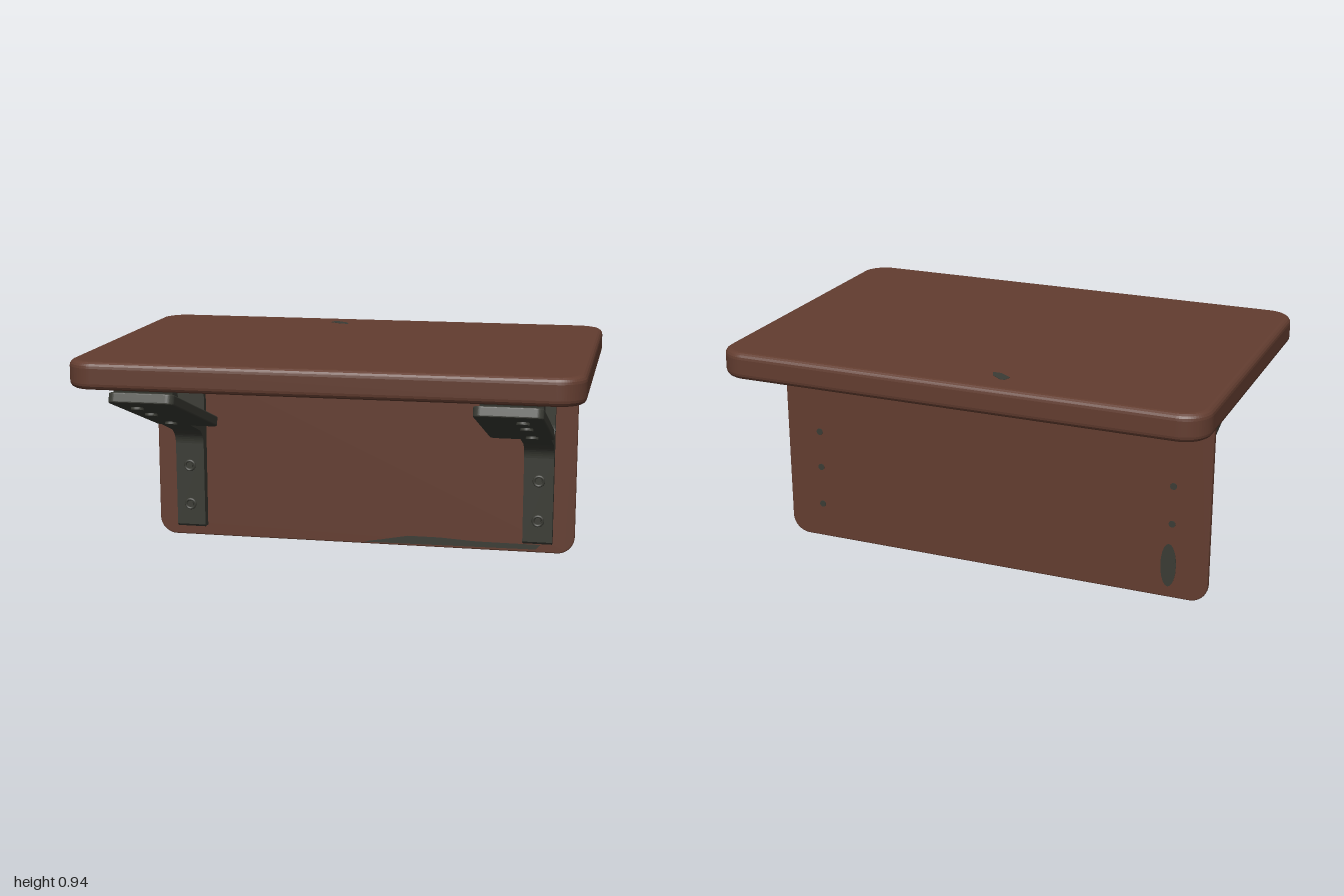
import * as THREE from 'three';

const wood = new THREE.MeshStandardMaterial({ color: 0x633d30 });
wood.name = 'brown wood';
const metal = new THREE.MeshStandardMaterial({ color: 0x3b3c35 });
metal.name = 'dark metal';

function part(name, geometry, material, parent) {
  const mesh = new THREE.Mesh(geometry, material);
  mesh.name = name;
  parent.add(mesh);
  return mesh;
}

// Rounded rectangle from (x0, y0) to (x1, y1)
function roundRect(x0, y0, x1, y1, r) {
  const s = new THREE.Shape();
  s.moveTo(x0 + r, y0);
  s.lineTo(x1 - r, y0);
  s.absarc(x1 - r, y0 + r, r, -Math.PI / 2, 0);
  s.lineTo(x1, y1 - r);
  s.absarc(x1 - r, y1 - r, r, 0, Math.PI / 2);
  s.lineTo(x0 + r, y1);
  s.absarc(x0 + r, y1 - r, r, Math.PI / 2, Math.PI);
  s.lineTo(x0, y0 + r);
  s.absarc(x0 + r, y0 + r, r, Math.PI, Math.PI * 1.5);
  return s;
}

// Slab of total thickness t, with rounded edges of radius b, centred in depth
function slab(x0, y0, x1, y1, r, t, b) {
  const g = new THREE.ExtrudeGeometry(roundRect(x0 + b, y0 + b, x1 - b, y1 - b, r - b), {
    depth: t - 2 * b, bevelEnabled: true, bevelSize: b, bevelThickness: b,
    bevelSegments: 4, curveSegments: 8,
  });
  return g.translate(0, 0, b - t / 2);
}

// Side profile (z, y) extruded between two x positions
function sideProfile(shape, xMin, xMax) {
  const g = new THREE.ExtrudeGeometry(shape, { depth: xMax - xMin, bevelEnabled: false, curveSegments: 8 });
  return g.rotateY(-Math.PI / 2).translate(xMax, 0, 0);
}

const SLOPE = 0.34;
const armY = (z) => 0.578 + SLOPE * z;

function bracket(side) {
  const g = new THREE.Group();
  g.name = side > 0 ? 'leftBracket' : 'rightBracket';
  const span = (a, b) => (side > 0 ? [a, b] : [-b, -a]);

  // Wall post flowing into the root of the arm
  const s = new THREE.Shape();
  s.moveTo(-0.255, 0.05);
  s.lineTo(-0.22, 0.05);
  s.lineTo(-0.212, 0.06);
  s.lineTo(-0.208, 0.43);
  s.quadraticCurveTo(-0.205, 0.47, -0.16, armY(-0.16) - 0.024);
  s.lineTo(0.02, armY(0.02) - 0.02);
  s.lineTo(0.01, armY(0.01) + 0.02);
  s.lineTo(-0.18, armY(-0.18) + 0.02);
  s.quadraticCurveTo(-0.225, 0.52, -0.226, 0.57);
  s.lineTo(-0.221, 0.828);
  s.lineTo(-0.255, 0.828);
  part('wallPost', sideProfile(s, ...span(0.705, 0.832)), metal, g);

  // Wide sloping support plate with its screws
  const arm = new THREE.Group();
  arm.name = 'arm';
  arm.position.set(0, armY(-0.02), -0.02);
  arm.rotation.x = -Math.atan(SLOPE);
  g.add(arm);
  const [a0, a1] = span(0.58, 0.845);
  part('armPlate', slab(a0, 0, a1, 0.68, 0.03, 0.042, 0.006).rotateX(Math.PI / 2), metal, arm);
  for (const z of [0.07, 0.33, 0.5]) {
    const bolt = part('armScrew', new THREE.CylinderGeometry(0.026, 0.026, 0.062, 16), metal, arm);
    bolt.position.set(side * 0.76, 0, (z + 0.02) * Math.hypot(1, SLOPE));
  }

  // Flared foot holding the table top
  const f = new THREE.Shape();
  f.moveTo(0.47, 0.75);
  f.lineTo(0.56, 0.775);
  f.quadraticCurveTo(0.545, 0.8, 0.575, 0.828);
  f.lineTo(0.48, 0.828);
  f.quadraticCurveTo(0.505, 0.79, 0.47, 0.75);
  part('armFoot', sideProfile(f, ...span(0.6, 0.84)), metal, g);

  // Post screws, each a washer ring around a head
  for (const y of [0.155, 0.33]) {
    const ring = part('screwRing', new THREE.TorusGeometry(0.021, 0.006, 6, 16), metal, g);
    ring.position.set(side * 0.77, y, -0.207);
    const head = part('screwHead', new THREE.CylinderGeometry(0.013, 0.013, 0.02, 12).rotateX(Math.PI / 2), metal, g);
    head.position.set(side * 0.77, y, -0.209);
  }

  // Bolt ends showing on the back of the panel
  for (const y of [0.15, 0.32, 0.48, 0.7]) {
    const end = part('boltEnd', new THREE.CylinderGeometry(0.014, 0.014, 0.008, 12).rotateX(Math.PI / 2), metal, g);
    end.position.set(side * 0.775, y, -0.284);
  }
  return g;
}

// Thin flat patch with a free outline
function patch(points) {
  const shape = new THREE.Shape(points.map(([x, y]) => new THREE.Vector2(x, y)));
  return new THREE.ExtrudeGeometry(shape, { depth: 0.004, bevelEnabled: false });
}

export function createModel() {
  const model = new THREE.Group();
  model.name = 'foldingWallTable';

  const top = part('tableTop', slab(-1, -0.69, 1, 0.69, 0.11, 0.11, 0.025).rotateX(-Math.PI / 2), wood, model);
  top.position.y = 0.88;

  const panel = part('backPanel', slab(-0.928, 0, 0.925, 0.825, 0.075, 0.026, 0.006), wood, model);
  panel.position.z = -0.272;

  model.add(bracket(1), bracket(-1));

  // Worn patches where the dark metal colour shows
  const edgeWear = part('panelEdgeWear', patch([
    [0, 0.008], [0.76, 0.014], [0.78, 0.035], [0.5, 0.036], [0.34, 0.045], [0.2, 0.045], [0.08, 0.022],
  ]), metal, model);
  edgeWear.position.z = -0.261;

  const topWear = part('topWear', patch([
    [-0.19, 0.58], [-0.2, 0.55], [-0.15, 0.515], [-0.115, 0.515], [-0.13, 0.55], [-0.17, 0.58],
  ]).rotateX(-Math.PI / 2), metal, model);
  topWear.position.y = 0.9325;

  const backWear = part('backWear', new THREE.CylinderGeometry(0.032, 0.032, 0.006, 20)
    .rotateX(Math.PI / 2).scale(1, 2.9, 1), metal, model);
  backWear.position.set(-0.765, 0.14, -0.284);

  return model;
}
